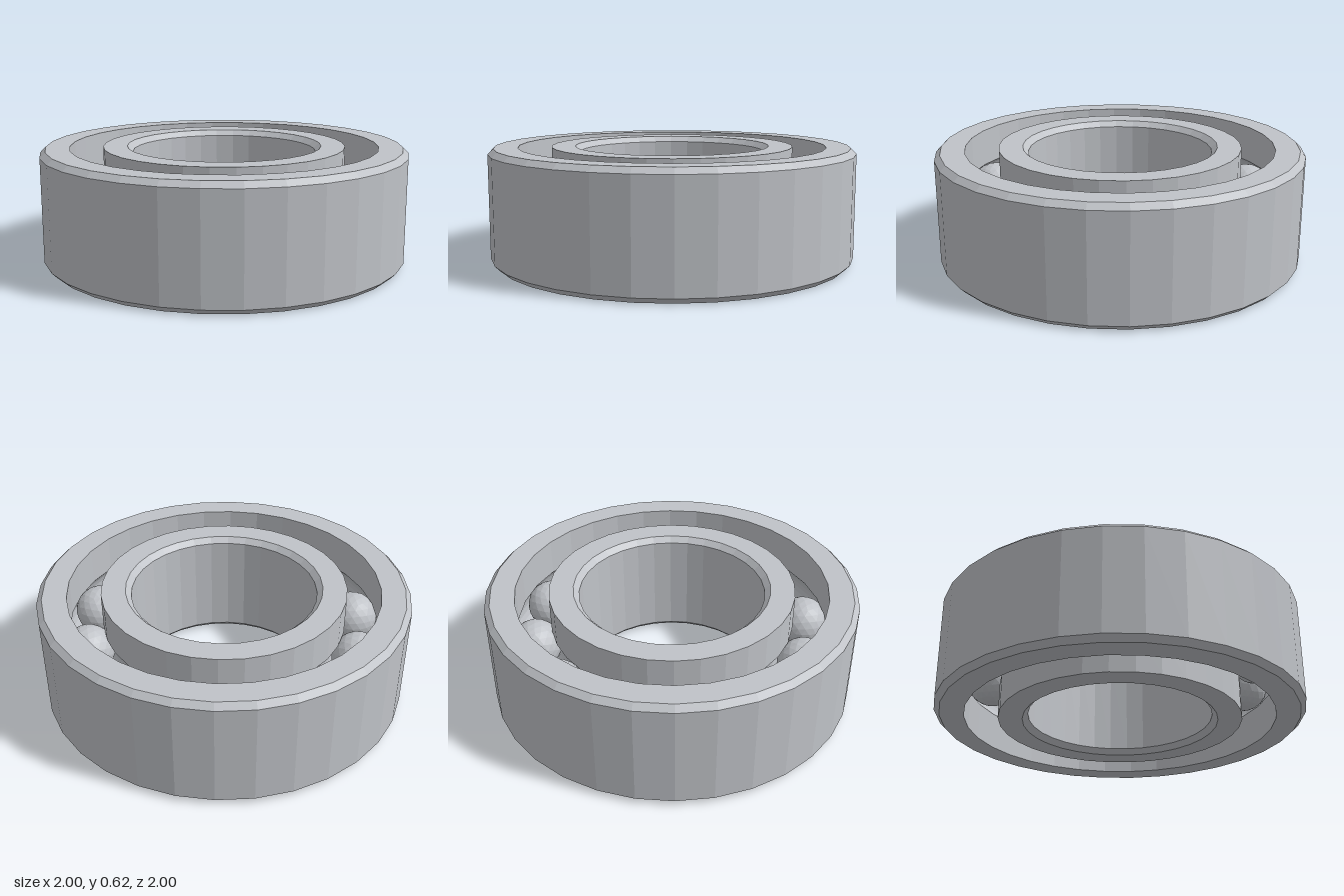
import * as THREE from 'three';

const HEIGHT = 0.625, MID = HEIGHT / 2;
const PITCH = 0.75, BALL_R = 0.139, GROOVE_R = 0.142;
const BEVEL = 0.03, SIDES = 32, BALLS = 12;

// Points of the ball groove cut into a race wall; dir +1 bulges outward, -1 inward
function groove(wallR, dir, upward) {
  const half = Math.acos(Math.abs(wallR - PITCH) / GROOVE_R);
  const points = [];
  for (let i = 0; i <= 8; i++) {
    const a = (upward ? 1 : -1) * half * (i / 4 - 1);
    points.push([PITCH + dir * GROOVE_R * Math.cos(a), MID + GROOVE_R * Math.sin(a)]);
  }
  return points;
}

// Closed ring profile turned around the y axis
function ring(name, profile, material) {
  const points = [...profile, profile[0]].map(([r, y]) => new THREE.Vector2(r, y));
  const mesh = new THREE.Mesh(new THREE.LatheGeometry(points, SIDES), material);
  mesh.name = name;
  return mesh;
}

export function createModel() {
  const group = new THREE.Group();
  group.name = 'ballBearing';
  const steel = new THREE.MeshStandardMaterial({ color: 0xc0c3c8, flatShading: true });
  steel.name = 'steel';

  // Outer ring: bevelled outside, grooved inside
  group.add(ring('outerRing', [
    [1 - BEVEL, 0], [1, BEVEL], [1, HEIGHT - BEVEL], [1 - BEVEL, HEIGHT],
    [0.84, HEIGHT], ...groove(0.84, 1, false), [0.84, 0],
  ], steel));

  // Inner ring: grooved outside, bevelled bore
  group.add(ring('innerRing', [
    [0.66, 0], ...groove(0.66, -1, true), [0.66, HEIGHT],
    [0.5 + BEVEL, HEIGHT], [0.5, HEIGHT - BEVEL], [0.5, BEVEL], [0.5 + BEVEL, 0],
  ], steel));

  // Balls spaced evenly in the race
  const ballGeometry = new THREE.IcosahedronGeometry(BALL_R, 3);
  for (let i = 0; i < BALLS; i++) {
    const a = (i / BALLS) * Math.PI * 2;
    const ball = new THREE.Mesh(ballGeometry, steel);
    ball.name = `ball${i + 1}`;
    ball.position.set(PITCH * Math.sin(a), MID, PITCH * Math.cos(a));
    ball.rotation.y = a;
    group.add(ball);
  }
  return group;
}
